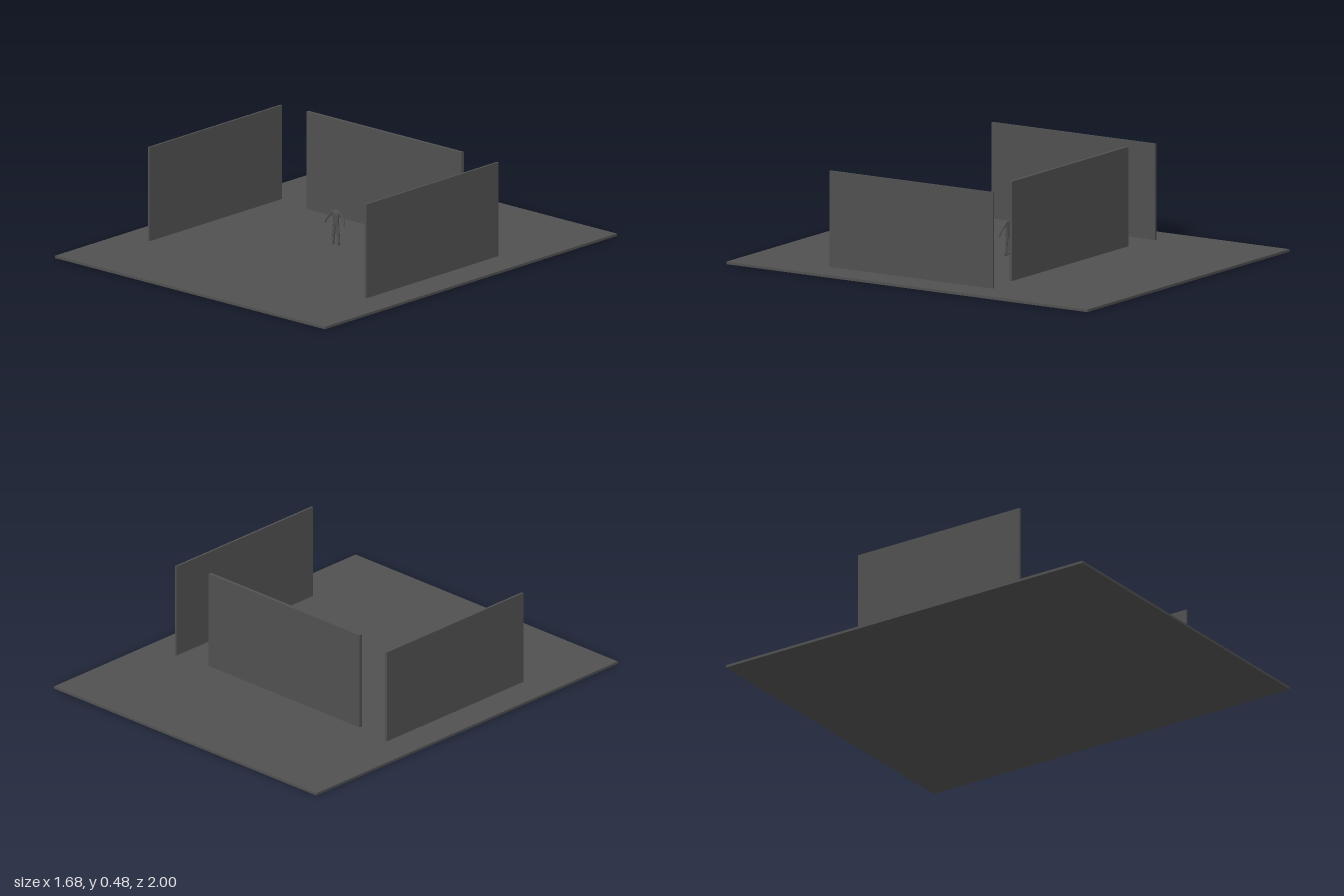
import * as THREE from 'three';

// Closed tube through elliptical rings [x, y, z, radiusX, radiusZ], listed bottom to top
function loft(rings, sides = 10) {
  const pos = [], idx = [];
  for (const [x, y, z, rx, rz] of rings) {
    for (let i = 0; i < sides; i++) {
      const a = (i / sides) * Math.PI * 2;
      pos.push(x + Math.cos(a) * rx, y, z + Math.sin(a) * rz);
    }
  }
  for (let r = 0; r < rings.length - 1; r++) {
    for (let i = 0; i < sides; i++) {
      const j = (i + 1) % sides, a = r * sides, b = a + sides;
      idx.push(a + i, b + i, a + j, a + j, b + i, b + j);
    }
  }
  // End caps
  const top = (rings.length - 1) * sides;
  for (let i = 1; i < sides - 1; i++) {
    idx.push(0, i, i + 1, top, top + i + 1, top + i);
  }
  const g = new THREE.BufferGeometry();
  g.setAttribute('position', new THREE.Float32BufferAttribute(pos, 3));
  g.setIndex(idx);
  g.computeVertexNormals();
  return g;
}

export function createModel() {
  const model = new THREE.Group();
  model.name = 'stage';
  const grey = new THREE.MeshStandardMaterial({ color: 0x505050 });
  grey.name = 'dark grey';

  const add = (parent, name, geometry) => {
    const mesh = new THREE.Mesh(geometry, grey);
    mesh.name = name;
    parent.add(mesh);
    return mesh;
  };
  const slab = (name, w, h, d, x, y, z) =>
    add(model, name, new THREE.BoxGeometry(w, h, d)).position.set(x, y + h / 2, z);

  // Floor and three free-standing walls
  slab('floor', 1.68, 0.012, 2, 0, 0, 0);
  slab('backWall', 0.966, 0.47, 0.016, -0.001, 0.01, -0.337);
  slab('rightWall', 0.01, 0.454, 0.906, -0.676, 0.01, 0.085);
  slab('leftWall', 0.01, 0.454, 0.906, 0.672, 0.01, 0.085);

  // Small standing figure
  const figure = new THREE.Group();
  figure.name = 'figure';
  model.add(figure);
  add(figure, 'torso', loft([
    [0, 0.100, 0, 0.015, 0.009],
    [0, 0.112, 0, 0.018, 0.010],
    [0, 0.132, 0, 0.016, 0.009],
    [0, 0.155, 0, 0.020, 0.011],
    [0, 0.168, -0.002, 0.024, 0.010],
    [0, 0.175, -0.004, 0.018, 0.008],
    [0, 0.180, -0.005, 0.009, 0.006],
  ], 14));

  // Limbs, mirrored left and right
  for (const [side, s] of [['left', 1], ['right', -1]]) {
    add(figure, side + 'Leg', loft([
      [s * 0.016, 0.012, 0.001, 0.006, 0.008],
      [s * 0.016, 0.030, 0, 0.005, 0.006],
      [s * 0.014, 0.060, 0, 0.007, 0.007],
      [s * 0.010, 0.106, 0, 0.010, 0.009],
    ]));
    add(figure, side + 'Arm', loft([
      [s * 0.060, 0.108, 0.008, 0.003, 0.004],
      [s * 0.056, 0.122, 0.006, 0.005, 0.005],
      [s * 0.045, 0.142, 0.001, 0.007, 0.005],
      [s * 0.030, 0.160, -0.002, 0.009, 0.006],
      [s * 0.018, 0.174, -0.003, 0.008, 0.006],
    ]));
  }
  return model;
}
